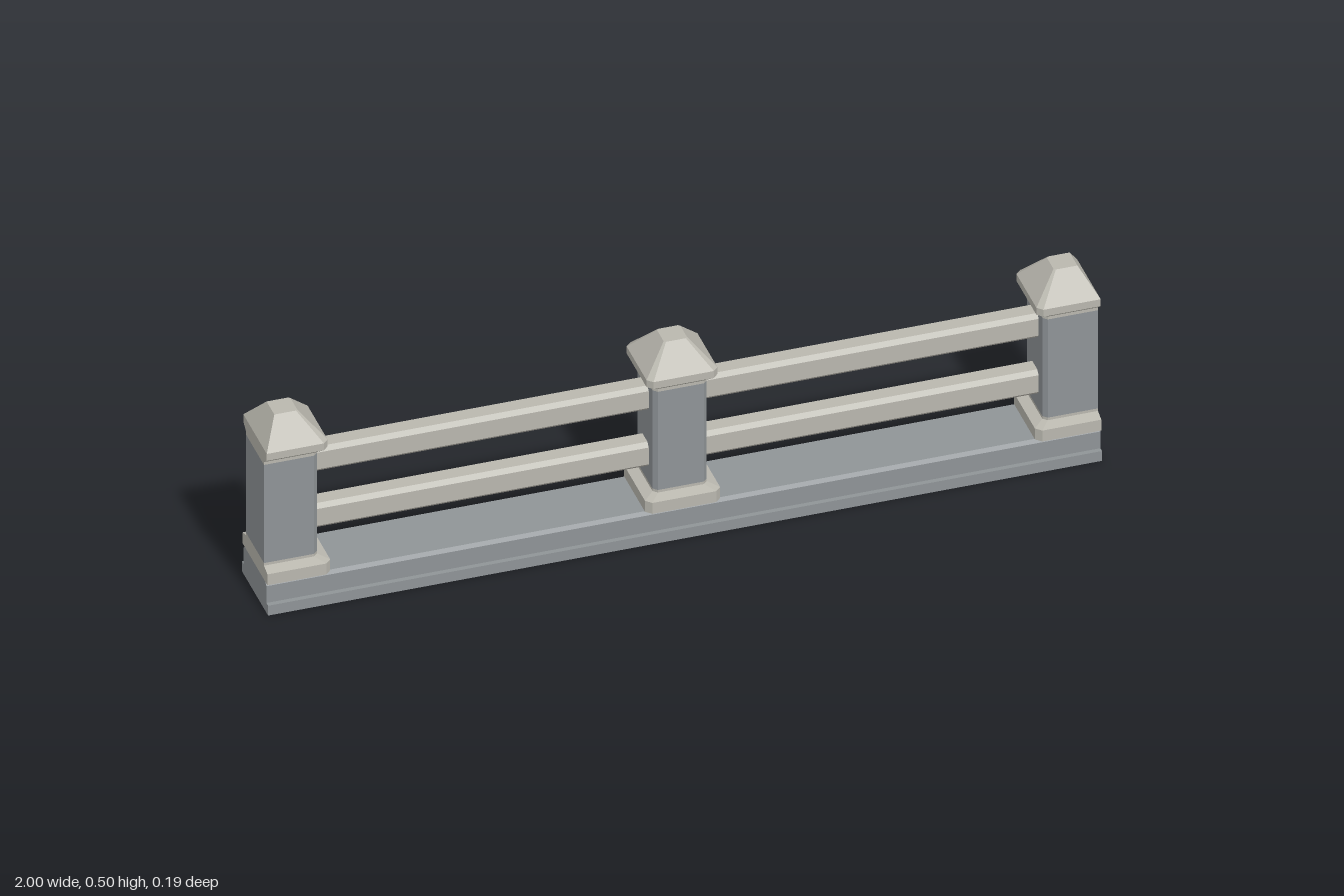
import * as THREE from 'three';

const stone = new THREE.MeshStandardMaterial({ color: 0x8f9497 });
stone.name = 'grey stone';
const trim = new THREE.MeshStandardMaterial({ color: 0xb9b7ae });
trim.name = 'pale stone';

// Cross-section of half-width h with cut corners; an end post is sawn flat on its +x side
function section(h, outer) {
  const c = h * 0.15;
  const left = [[-h + c, h], [-h, h - c], [-h, -h + c], [-h + c, -h]];
  if (outer === undefined) return [[h, h - c], [h - c, h], ...left, [h - c, -h], [h, -h + c]];
  const o = Math.min(h, outer);
  return [[o, h], ...left, [o, -h]];
}

// Stacks sections [halfWidth, y, outerLimit] into a closed, flat-shaded solid
function stack(rings, isEnd) {
  const pts = rings.map(([h, y, limit = 0.065]) =>
    section(h, isEnd ? limit : undefined).map(([x, w]) => [x, y, -w]));
  const n = pts[0].length, top = pts[pts.length - 1], pos = [];
  for (let i = 0; i + 1 < pts.length; i++) {
    for (let j = 0; j < n; j++) {
      const k = (j + 1) % n, a = pts[i][j], b = pts[i][k], c = pts[i + 1][k], d = pts[i + 1][j];
      pos.push(...a, ...b, ...c, ...a, ...c, ...d);
    }
  }
  for (let j = 1; j + 1 < n; j++) {
    pos.push(...top[0], ...top[j], ...top[j + 1]);
    pos.push(...pts[0][0], ...pts[0][j + 1], ...pts[0][j]);
  }
  const g = new THREE.BufferGeometry();
  g.setAttribute('position', new THREE.Float32BufferAttribute(pos, 3));
  g.computeVertexNormals();
  return g;
}

// Bar along x from a (z, y) half-profile mirrored across z = 0
function bar(half, length) {
  const outline = [...half, ...half.map(([z, y]) => [-z, y]).reverse()];
  const shape = new THREE.Shape(outline.map(([z, y]) => new THREE.Vector2(z, y)));
  const g = new THREE.ExtrudeGeometry(shape, { depth: length, bevelEnabled: false });
  g.translate(0, 0, -length / 2);
  g.rotateY(Math.PI / 2);
  return g;
}

function add(parent, name, geometry, material) {
  const mesh = new THREE.Mesh(geometry, material);
  mesh.name = name;
  parent.add(mesh);
  return mesh;
}

function makePost(name, isEnd) {
  const post = new THREE.Group();
  post.name = name;
  // moulded foot resting on the plinth
  add(post, 'foot', stack([[0.078, 0.073, 0.06], [0.09, 0.08], [0.09, 0.11], [0.065, 0.118], [0.065, 0.125]], isEnd), trim);
  add(post, 'shaft', stack([[0.065, 0.125], [0.065, 0.395]], isEnd), stone);
  // flared cap with a truncated pyramid
  add(post, 'cap', stack([[0.065, 0.395], [0.065, 0.403], [0.085, 0.419], [0.085, 0.438], [0.028, 0.502]], isEnd), trim);
  return post;
}

export function createModel() {
  const model = new THREE.Group();
  model.name = 'balustrade';

  // stepped plinth running the full length
  add(model, 'plinth', bar([[0.095, 0], [0.095, 0.027], [0.083, 0.027], [0.083, 0.073], [0.074, 0.08]], 2), stone);

  // posts: one in the middle, two flat-ended ones
  model.add(makePost('middlePost', false));
  const leftPost = makePost('leftPost', true);
  leftPost.position.x = 0.935;
  const rightPost = makePost('rightPost', true);
  rightPost.position.x = -0.935;
  rightPost.rotation.y = Math.PI;
  model.add(leftPost, rightPost);

  // two chamfered rails in each bay
  const railProfile = [[0.018, -0.033], [0.028, -0.023], [0.028, 0.023], [0.018, 0.033]];
  const rail = bar(railProfile, 0.83);
  for (const side of [-1, 1]) {
    for (const [name, y] of [['lowerRail', 0.197], ['upperRail', 0.352]]) {
      add(model, name, rail, trim).position.set(side * 0.4675, y, 0);
    }
  }
  return model;
}
